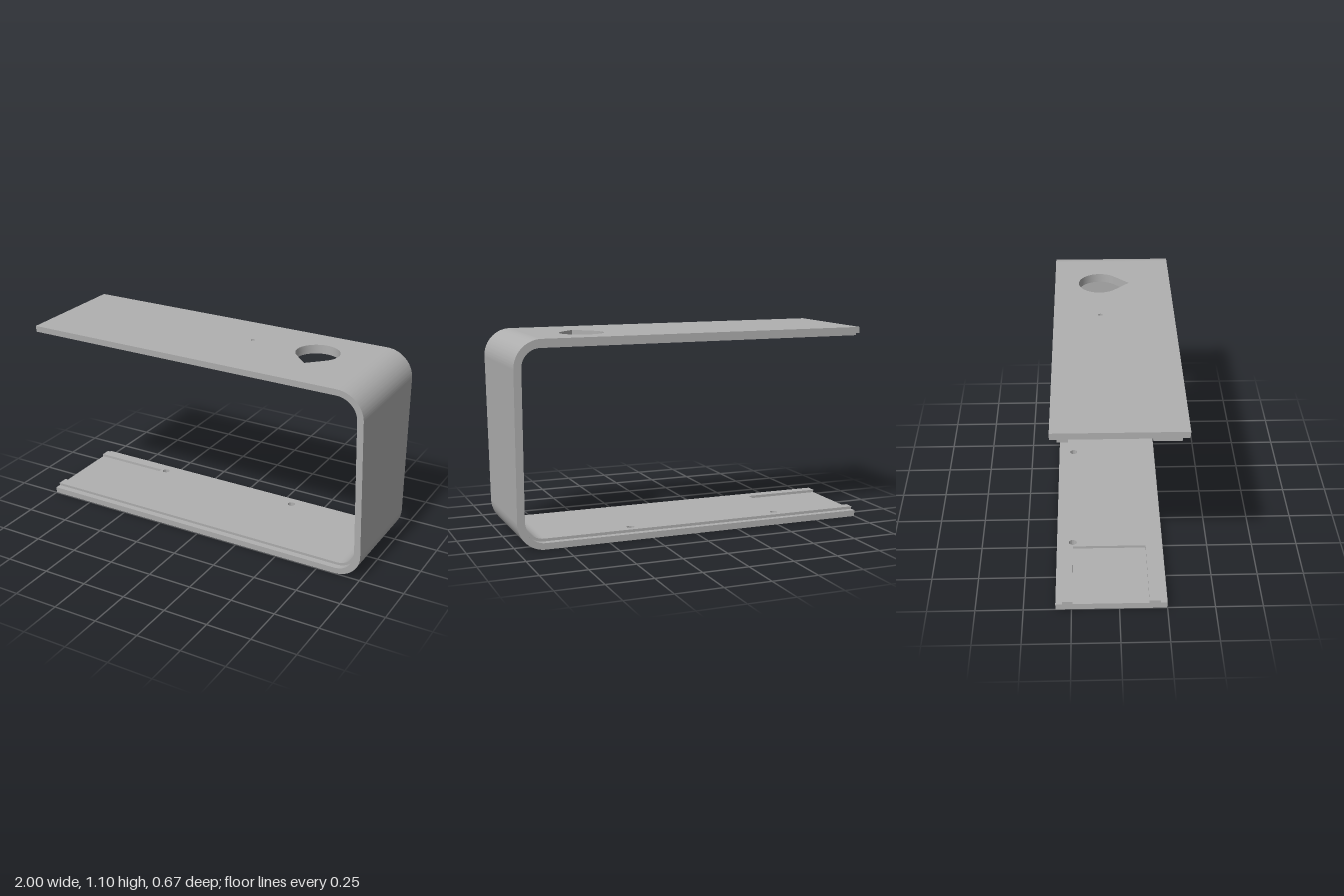
import * as THREE from 'three';
import { toCreasedNormals } from 'three/addons/utils/BufferGeometryUtils.js';

const H = 1.1, BACK = -0.333, R = 0.15;      // height, back plane, outer corner radius
const LIP = 0.035, WALL = 0.05, STEP = 0.035; // rim thickness, full thickness, rebate width
const front = (y) => 0.247 + 0.086 * y / H;   // front edge leans forward towards the top

const polygon = (pts) => new THREE.Shape(pts.map(([x, y]) => new THREE.Vector2(x, y)));
const rect = (x0, x1, y0, y1) => polygon([[x0, y0], [x1, y0], [x1, y1], [x0, y1]]);
const circle = (x, y, r) => new THREE.Path().absarc(x, y, r, 0, Math.PI * 2);

function roundRect(x0, x1, y0, y1, r) {
  const p = new THREE.Path();
  p.absarc(x1 - r, y1 - r, r, 0, Math.PI / 2);
  p.absarc(x0 + r, y1 - r, r, Math.PI / 2, Math.PI);
  p.absarc(x0 + r, y0 + r, r, Math.PI, Math.PI * 1.5);
  p.absarc(x1 - r, y0 + r, r, Math.PI * 1.5, Math.PI * 2);
  p.closePath();
  return p;
}

function teardrop(x, y, r) {
  const p = new THREE.Path();
  p.absarc(x, y, r, -Math.PI / 4, Math.PI * 1.25);
  p.lineTo(x, y - r * Math.SQRT2);
  p.closePath();
  return p;
}

function extrude(shape, holes, depth) {
  shape.holes.push(...holes);
  return new THREE.ExtrudeGeometry(shape, { depth, bevelEnabled: false, curveSegments: 20 });
}

// Moves the front vertices onto the leaning front plane
function lean(geo, zFront, inset) {
  const p = geo.attributes.position;
  for (let i = 0; i < p.count; i++) {
    if (p.getZ(i) > zFront - 1e-4) p.setZ(i, front(p.getY(i)) - inset);
  }
  return toCreasedNormals(geo, 0.5);
}

export function createModel() {
  const group = new THREE.Group();
  const shell = new THREE.MeshStandardMaterial({ color: 0xb0b0b0 });
  shell.name = 'shell grey';
  const add = (name, geo) => {
    const mesh = new THREE.Mesh(geo, shell);
    mesh.name = name;
    group.add(mesh);
  };

  // Horizontal layer between heights y0 and y1; shapes use (x, -z)
  function plate(name, y0, y1, holes, inset = 0, notch = false) {
    const zf = front((y0 + y1) / 2) - inset, a = -zf, b = -(BACK + inset);
    const xr = 1 - R, n = -0.555;
    const outline = notch
      ? polygon([[-1, a], [xr, a], [xr, b], [-1, b], [-1, 0.244], [n, 0.244], [n, -0.156], [-1, -0.156]])
      : rect(-1, xr, a, b);
    const geo = extrude(outline, holes, y1 - y0);
    geo.rotateX(-Math.PI / 2);
    geo.translate(0, y0, 0);
    add(name, lean(geo, zf, inset));
  }

  // Upright layer between x0 and x1; shapes use (-z, y)
  function wall(name, x0, x1, holes, inset = 0) {
    const b = -(BACK + inset), y0 = R, y1 = H - R;
    const outline = polygon([[-front(y0) + inset, y0], [b, y0], [b, y1], [-front(y1) + inset, y1]]);
    const geo = extrude(outline, holes, x1 - x0);
    geo.rotateY(Math.PI / 2);
    geo.translate(x0, 0, 0);
    add(name, geo);
  }

  // Quarter bend between two radii
  function corner(name, cy, start, rOut, rIn, inset = 0) {
    const s = new THREE.Shape();
    s.absarc(1 - R, cy, rOut, start, start + Math.PI / 2, false);
    s.absarc(1 - R, cy, rIn, start + Math.PI / 2, start, true);
    s.closePath();
    const zf = 0.4, z0 = BACK + inset;
    const geo = extrude(s, [], zf - z0);
    geo.translate(0, 0, z0);
    add(name, lean(geo, zf, inset));
  }

  // Bottom: screw holes, foot recesses and two shallow recesses underneath
  const screws = (r) => [-0.52, 0.35].map((x) => circle(x, 0.245, r));
  const feet = () => [0.245, -0.09].map((y) => circle(0.715, y, 0.067));
  plate('bottomUnderside', 0, 0.01,
    [...screws(0.03), ...feet(), rect(-0.5, 0.13, -0.2, 0.04), rect(0.16, 0.6, -0.13, -0.015)]);
  plate('bottomFootLayer', 0.01, 0.025, [...screws(0.021), ...feet()]);
  plate('bottomCore', 0.025, LIP, screws(0.021));
  plate('bottomFloor', LIP, WALL, screws(0.021), STEP, true);

  // Top: teardrop opening and pinhole
  const topHoles = () => [teardrop(0.56, 0.075, 0.12), circle(0.17, 0.075, 0.012)];
  plate('topOuter', H - LIP, H, topHoles());
  plate('topInner', H - WALL, H - LIP, topHoles(), STEP, true);

  // Side wall: rounded port, plus a blind recess on the inside
  const port = () => roundRect(0.02, 0.105, 0.352, 0.492, 0.018);
  const recess = () => rect(-0.05, 0.105, 0.515, 0.77);
  wall('sideOuter', 0.98, 1, [port()]);
  wall('sideCore', 1 - LIP, 0.98, [port(), recess()]);
  wall('sideInner', 1 - WALL, 1 - LIP, [port(), recess()], STEP);

  // Rounded bends
  for (const [name, cy, start] of [['topBend', H - R, 0], ['bottomBend', R, -Math.PI / 2]]) {
    corner(name + 'Outer', cy, start, R, R - LIP);
    corner(name + 'Inner', cy, start, R - LIP, R - WALL, STEP);
  }
  return group;
}
